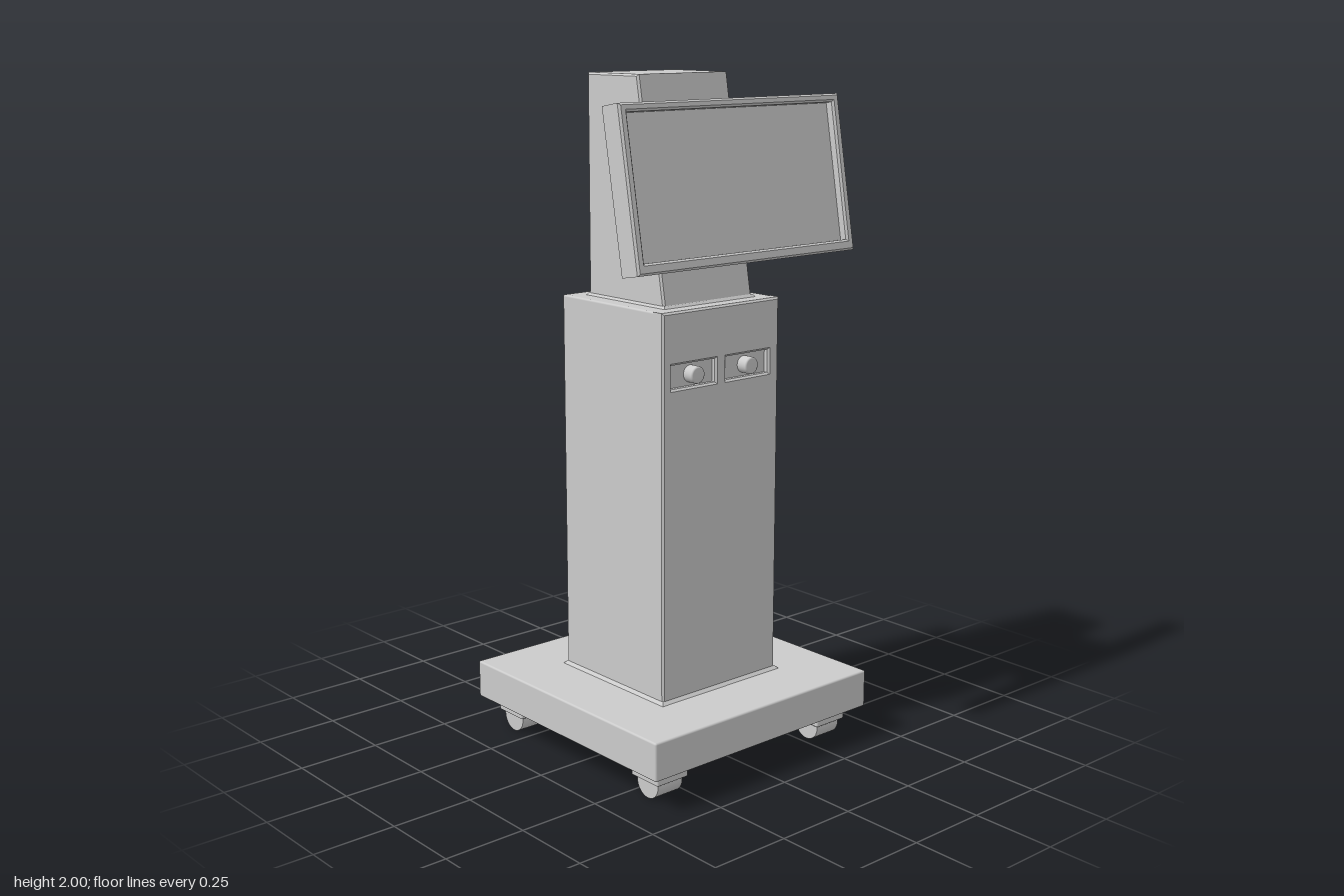
import * as THREE from 'three';
import { RoundedBoxGeometry } from 'three/addons/geometries/RoundedBoxGeometry.js';

const grey = new THREE.MeshStandardMaterial({ color: 0xcccccc });
const BEVEL = 0.006;

function add(parent, name, geometry, x = 0, y = 0, z = 0) {
  const mesh = new THREE.Mesh(geometry, grey);
  mesh.name = name;
  mesh.position.set(x, y, z);
  parent.add(mesh);
  return mesh;
}

const softBox = (w, h, d, r = BEVEL) => new RoundedBoxGeometry(w, h, d, 2, r);

// Rectangle outline centred on (x, y)
function rect(Type, w, h, x = 0, y = 0) {
  const c = [[-1, -1], [1, -1], [1, 1], [-1, 1]];
  return new Type(c.map(([sx, sy]) => new THREE.Vector2(x + sx * w / 2, y + sy * h / 2)));
}

// Bevelled slab centred on z = 0, keeping the outline's size
function slab(shape, depth) {
  const g = new THREE.ExtrudeGeometry(shape, {
    depth: depth - 2 * BEVEL, bevelThickness: BEVEL, bevelSize: BEVEL,
    bevelOffset: -BEVEL, bevelSegments: 1,
  });
  return g.translate(0, 0, BEVEL - depth / 2);
}

// Small sloping skirt where a square block meets the face below
function skirt(half, spread, height) {
  const r = Math.SQRT2;
  return new THREE.CylinderGeometry(half * r, (half + spread) * r, height, 4, 1, true)
    .toNonIndexed().rotateY(Math.PI / 4);
}

function flat(geometry) {
  geometry.computeVertexNormals();
  return geometry;
}

export function createModel() {
  const model = new THREE.Group();
  model.name = 'kiosk';

  // Base plate
  add(model, 'basePlate', softBox(0.84, 0.115, 0.84), 0, 0.1575, 0);

  // Four casters: housing, fork block and wheel
  for (const x of [-0.318, 0.318]) for (const z of [-0.318, 0.318]) {
    const caster = new THREE.Group();
    caster.name = 'caster';
    caster.position.set(x, 0, z);
    add(caster, 'casterHousing', softBox(0.115, 0.045, 0.115, 0.005), 0, 0.08, 0);
    add(caster, 'casterFork', new THREE.BoxGeometry(0.09, 0.02, 0.09), 0, 0.055, 0);
    add(caster, 'casterWheel',
      new THREE.CylinderGeometry(0.045, 0.045, 0.09, 32).rotateZ(Math.PI / 2), 0, 0.048, 0);
    model.add(caster);
  }

  // Column with two pockets in its front
  const bottom = 0.21, top = 1.36, mid = (bottom + top) / 2, height = top - bottom;
  const pockets = [-0.107, 0.1];
  add(model, 'column', softBox(0.448, height, 0.43), 0, mid, -0.009);
  const front = rect(THREE.Shape, 0.448, height);
  for (const x of pockets) front.holes.push(rect(THREE.Path, 0.166, 0.068, x, 1.175 - mid));
  add(model, 'columnFront', slab(front, 0.044), 0, mid, 0.202);
  add(model, 'columnSkirt', flat(skirt(0.223, 0.01, 0.01)), 0, 0.22, 0);

  // Round knobs in the pockets
  const profile = [[0, 0.038], [0.02, 0.038], [0.0235, 0.0365], [0.025, 0.033], [0.025, 0]]
    .reverse().map(([r, y]) => new THREE.Vector2(r, y));
  for (const x of pockets) {
    add(model, 'knob', new THREE.LatheGeometry(profile, 32).rotateX(Math.PI / 2), x, 1.175, 0.204);
  }

  // Head with a sloping front, drawn from the side
  const side = new THREE.Shape([
    [-0.168, 1.35], [0.168, 1.35], [0.055, 2], [-0.168, 2],
  ].map(([z, y]) => new THREE.Vector2(-z, y)).reverse());
  add(model, 'head', slab(side, 0.338).rotateY(Math.PI / 2));
  add(model, 'headSkirt', flat(skirt(0.168, 0.007, 0.008)), 0, 1.364, 0);

  // Tilted display: frame, sunken screen, and bracket to the head
  const display = new THREE.Group();
  display.name = 'display';
  display.position.set(0, 1.71, 0.2675);
  display.rotation.x = -0.175;
  const frame = rect(THREE.Shape, 0.82, 0.452);
  frame.holes.push(rect(THREE.Path, 0.766, 0.396, 0, 0.004));
  add(display, 'displayFrame', slab(frame, 0.076));
  add(display, 'screen', new THREE.BoxGeometry(0.775, 0.405, 0.048), 0, 0.004, -0.0125);
  add(display, 'displayBracket', softBox(0.15, 0.446, 0.14), 0, 0, -0.1);
  model.add(display);

  return model;
}
